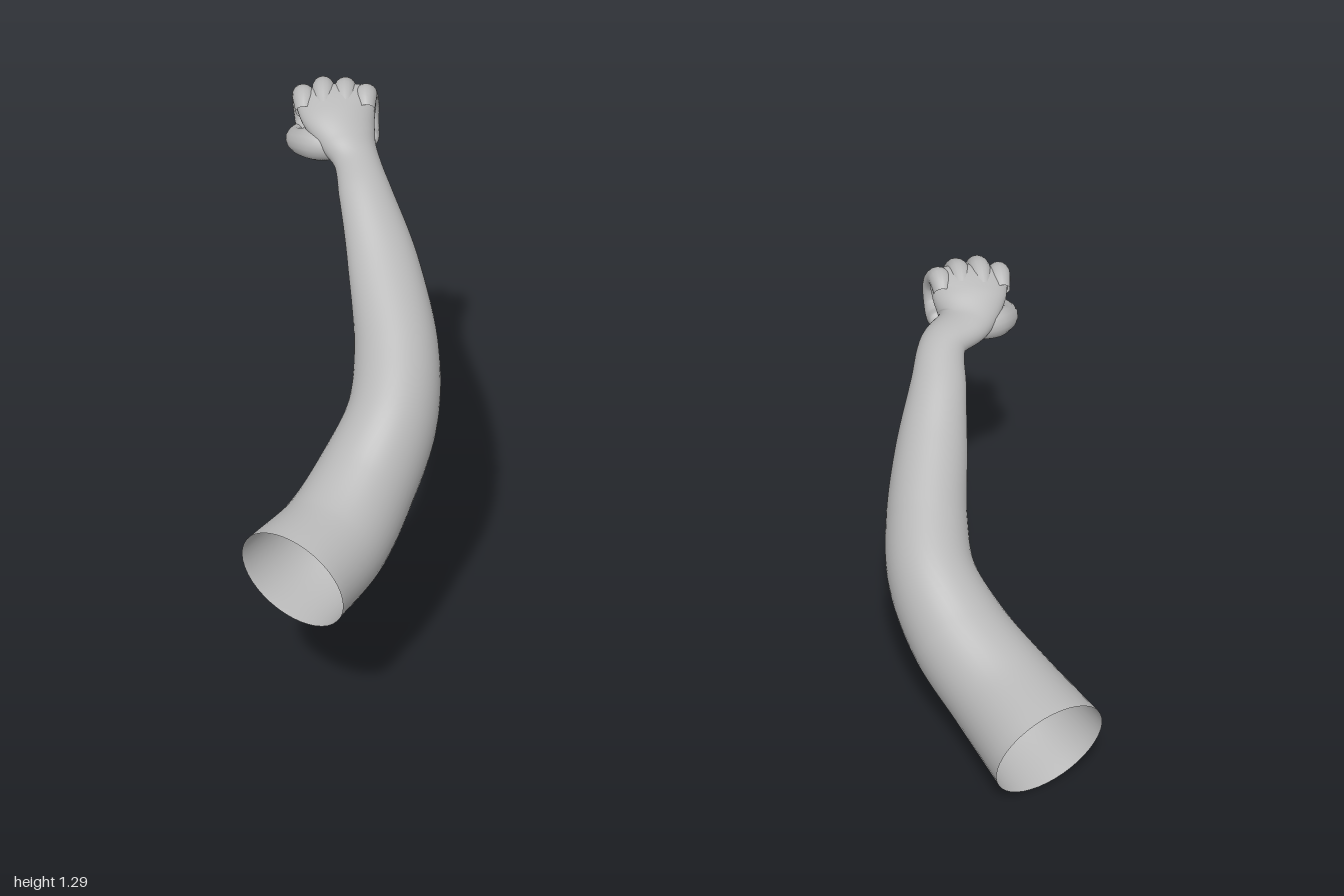
import * as THREE from 'three';

const skin = new THREE.MeshStandardMaterial({ color: 0xb8b8b8, side: THREE.DoubleSide });
skin.name = 'plain grey';

const X = new THREE.Vector3(1, 0, 0);
const Y = new THREE.Vector3(0, 1, 0);

// Smooth tube through sections [x, y, z, halfWidth, halfHeight]; ref fixes the twist
function loft(name, sections, ref, rings, sides) {
  const path = new THREE.CatmullRomCurve3(sections.map(s => new THREE.Vector3(s[0], s[1], s[2])));
  const size = new THREE.CatmullRomCurve3(
    sections.map((s, i) => new THREE.Vector3(s[3], s[4] ?? s[3], i * 0.05)));
  const pos = [], idx = [];
  for (let i = 0; i <= rings; i++) {
    const c = path.getPoint(i / rings), t = path.getTangent(i / rings), r = size.getPoint(i / rings);
    const a = new THREE.Vector3().crossVectors(ref, t).normalize();
    const b = new THREE.Vector3().crossVectors(t, a);
    for (let j = 0; j < sides; j++) {
      const q = j / sides * Math.PI * 2;
      const p = c.clone()
        .addScaledVector(a, Math.max(r.x, 0.001) * Math.cos(q))
        .addScaledVector(b, Math.max(r.y, 0.001) * Math.sin(q));
      pos.push(p.x, p.y, p.z);
      if (i < rings) {
        const k = (j + 1) % sides, n = i * sides, m = n + sides;
        idx.push(n + j, n + k, m + j, n + k, m + k, m + j);
      }
    }
  }
  const g = new THREE.BufferGeometry();
  g.setAttribute('position', new THREE.Float32BufferAttribute(pos, 3));
  g.setIndex(idx);
  g.computeVertexNormals();
  const mesh = new THREE.Mesh(g, skin);
  mesh.name = name;
  return mesh;
}

// Palm sections in the right arm's space, wrist to knuckles
const palm = [
  [-0.722, 1.188, -0.58, 0.073, 0.046],
  [-0.742, 1.228, -0.64, 0.095, 0.045],
  [-0.748, 1.252, -0.69, 0.1, 0.038],
  [-0.75, 1.255, -0.715, 0.088, 0.024],
  [-0.75, 1.255, -0.722, 0.001, 0.001],
];

// Finger rows: x, forward reach, height shift
const fingers = [
  ['indexFinger', -0.832, 0.012, -0.008],
  ['middleFinger', -0.779, -0.008, 0.003],
  ['ringFinger', -0.722, -0.004, 0],
  ['littleFinger', -0.668, 0.022, -0.01],
];

// Curled finger: y, z, radius from knuckle to tip
const curl = [
  [1.25, -0.64, 0.022], [1.269, -0.69, 0.029], [1.255, -0.735, 0.026], [1.217, -0.762, 0.028],
  [1.172, -0.75, 0.025], [1.155, -0.71, 0.025], [1.163, -0.675, 0.021], [1.168, -0.662, 0.001],
];

const thumb = [
  [-0.745, 1.175, -0.565, 0.03], [-0.8, 1.175, -0.595, 0.042], [-0.84, 1.16, -0.64, 0.034],
  [-0.852, 1.146, -0.69, 0.028], [-0.835, 1.142, -0.73, 0.026],
  [-0.815, 1.143, -0.755, 0.02], [-0.808, 1.143, -0.763, 0.001],
];

function buildArm(name, sections, side, offset) {
  const arm = new THREE.Group();
  arm.name = name;
  // mirrors and shifts hand sections onto this arm
  const place = list => list.map(([x, y, z, ...r]) =>
    [x * side + offset[0], y + offset[1], z + offset[2], ...r]);

  arm.add(loft('armAndPalm', [...sections, ...place(palm)], Y, 96, 40));
  for (const [fingerName, x, dz, dy] of fingers) {
    const spine = curl.map(([y, z, r], i) => {
      const spread = (x + 0.75) * (i < 2 ? -0.06 : 0);
      return [x + spread, y + dy, z + dz * Math.min(1, i / 2), r];
    });
    arm.add(loft(fingerName, place(spine), X, 42, 16));
  }
  arm.add(loft('thumb', place(thumb), Y, 36, 16));
  return arm;
}

// Open shoulder end to wrist
const rightArm = [
  [-0.895, 0.537, 0.375, 0.148, 0.136],
  [-0.8, 0.557, 0.25, 0.138, 0.132],
  [-0.72, 0.625, 0.125, 0.125, 0.128],
  [-0.645, 0.735, 0.005, 0.112, 0.118],
  [-0.625, 0.84, -0.12, 0.104, 0.1],
  [-0.648, 0.995, -0.3, 0.088, 0.065],
  [-0.685, 1.115, -0.45, 0.066, 0.05],
  [-0.702, 1.157, -0.53, 0.058, 0.044],
];
const leftArm = [
  [0.88, 0.145, 0.69, 0.152, 0.14],
  [0.8, 0.183, 0.515, 0.135, 0.135],
  [0.715, 0.255, 0.375, 0.125, 0.125],
  [0.662, 0.345, 0.25, 0.11, 0.114],
  [0.666, 0.425, 0.12, 0.102, 0.104],
  [0.698, 0.535, -0.03, 0.091, 0.084],
  [0.73, 0.642, -0.15, 0.072, 0.058],
  [0.757, 0.708, -0.25, 0.06, 0.045],
];

export function createModel() {
  const model = new THREE.Group();
  model.name = 'pairOfArms';
  model.add(buildArm('rightArm', rightArm, 1, [0, 0, 0]));
  model.add(buildArm('leftArm', leftArm, -1, [0.1, -0.46, 0.265]));
  return model;
}
